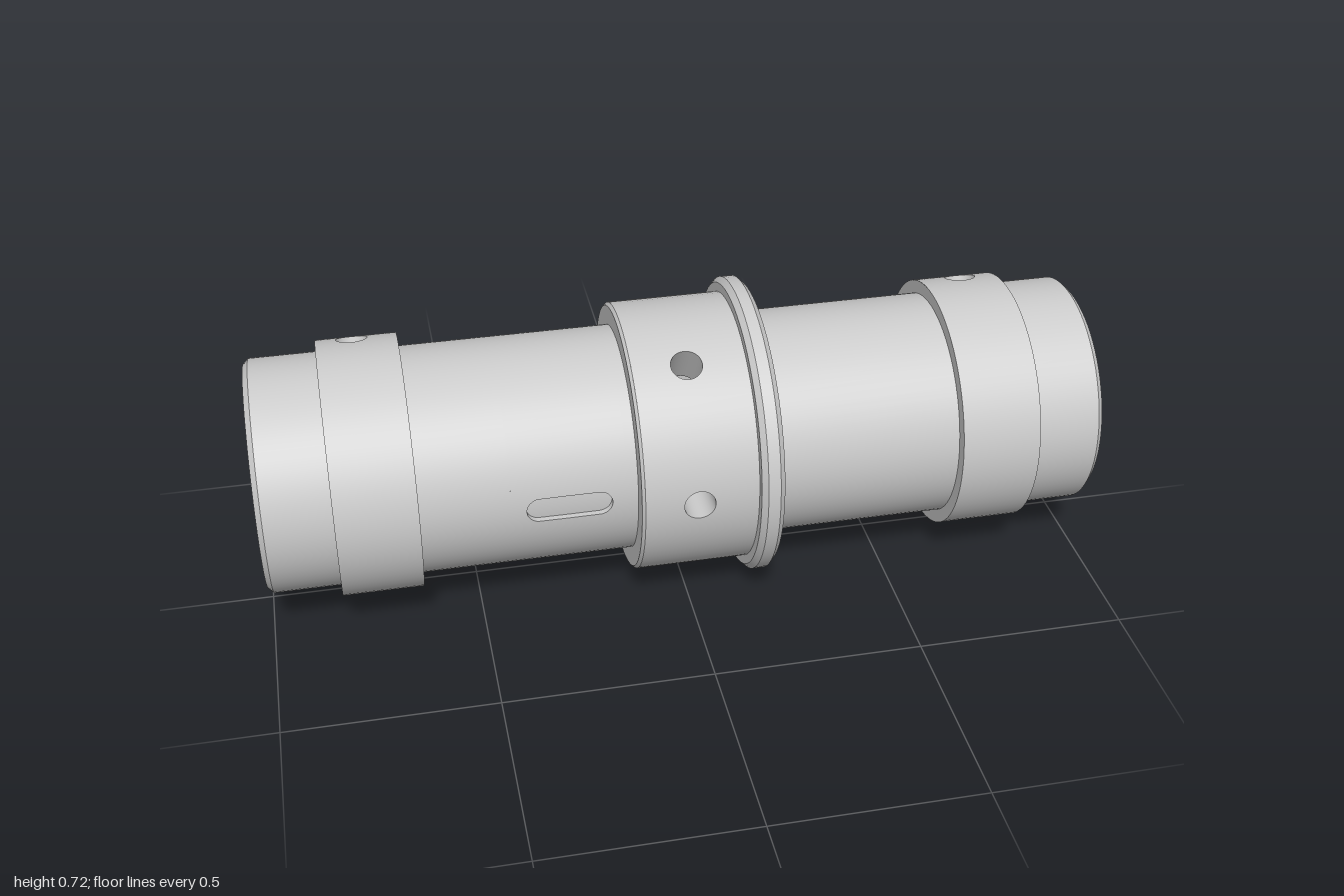
import * as THREE from 'three';
import { mergeGeometries } from 'three/addons/utils/BufferGeometryUtils.js';

const AXIS_Y = 0.36, BORE = 0.209, TUBE = 0.272, COLLAR = 0.304, SLEEVE = 0.325;
const DEG = Math.PI / 180, HALF = 15 * DEG; // half angle of the patch round an opening

// Point on a cylinder round the x axis; theta 0 faces the front, 90 degrees is up
const polar = (x, r, th) => new THREE.Vector3(x, r * Math.sin(th), r * Math.cos(th));

// Surface of revolution between two [x, radius] points, over an arc of theta
function turned([x0, r0], [x1, r1], from = 0, to = 2 * Math.PI) {
  const g = new THREE.LatheGeometry([new THREE.Vector2(r0, x0), new THREE.Vector2(r1, x1)],
    Math.ceil((to - from) / (5 * DEG) - 1e-6), -to, to - from);
  g.rotateZ(-Math.PI / 2);
  g.deleteAttribute('uv');
  return g;
}

// Each straight run is separate so that its edges stay crisp
const profile = (pts) => pts.slice(1).map((p, i) => turned(pts[i], p));

// Ring-shaped grid; sign +1/-1 gives exact radial normals
function grid(fn, ns, sign = 0) {
  const nt = 40, pos = [], nor = [], idx = [];
  for (let j = 0; j <= ns; j++) for (let i = 0; i <= nt; i++) {
    const p = fn(i / nt * 2 * Math.PI, j / ns);
    pos.push(p.x, p.y, p.z);
    const l = Math.hypot(p.y, p.z) || 1;
    nor.push(0, sign * p.y / l, sign * p.z / l);
    if (j < ns && i < nt) {
      const a = j * (nt + 1) + i, b = a + nt + 1;
      idx.push(a, b, a + 1, b, b + 1, a + 1);
    }
  }
  const g = new THREE.BufferGeometry();
  g.setAttribute('position', new THREE.Float32BufferAttribute(pos, 3));
  g.setAttribute('normal', new THREE.Float32BufferAttribute(nor, 3));
  g.setIndex(idx);
  if (!sign) g.computeVertexNormals();
  return g;
}

// Outline of an opening: round, or a slot when half > 0
const outline = (t, { rad, half = 0 }) => {
  const c = Math.cos(t);
  return [rad * c + (Math.abs(c) < 1e-6 ? 0 : Math.sign(c) * half), rad * Math.sin(t)];
};

// Point on the outline of an opening at a given radius
const rim = (t, hole, r, th) => {
  const [u, v] = outline(t, hole);
  return polar(hole.x + u, r, th + Math.asin(v / r));
};

// Cylindrical band from x0 to x1 with openings at the given angles
function piercedBand(x0, x1, r, angles, hole, sign = 1) {
  const parts = [], mid = (x0 + x1) / 2, w = (x1 - x0) / 2;
  angles.forEach((th, k) => {
    const next = k + 1 < angles.length ? angles[k + 1] : angles[0] + 2 * Math.PI;
    const a = [x0, r], b = [x1, r];
    parts.push(turned(sign > 0 ? a : b, sign > 0 ? b : a, th + HALF, next - HALF));
    parts.push(grid((t, s) => {
      const k2 = sign > 0 ? s : 1 - s;
      const c = Math.cos(t), n = Math.sin(t), m = Math.max(Math.abs(c), Math.abs(n));
      const [u, v] = outline(t, hole);
      return polar(THREE.MathUtils.lerp(hole.x + u, mid + w * c / m, k2), r,
        th + THREE.MathUtils.lerp(Math.asin(v / r), HALF * n / m, k2));
    }, 5, sign));
  });
  return parts;
}

// Side walls of the openings
const holeWalls = (angles, hole, r0, r1) => angles.map((th) =>
  grid((t, s) => rim(t, hole, r0 + (r1 - r0) * s, th), 2));

// Band with holes running from the outside into the bore
const drilled = (x0, x1, r, angles, hole) => [
  ...piercedBand(x0, x1, r, angles, hole),
  ...piercedBand(x0, x1, BORE, angles, hole, -1),
  ...holeWalls(angles, hole, BORE, r),
];

export function createModel() {
  const group = new THREE.Group();
  group.position.y = AXIS_Y;
  const material = new THREE.MeshStandardMaterial({ color: 0xcccccc, side: THREE.DoubleSide });
  const add = (name, parts) => {
    const mesh = new THREE.Mesh(mergeGeometries(parts), material);
    mesh.name = name;
    group.add(mesh);
  };

  // End rings and drilled collars, one at each end
  const rear = [110, 180, 250].map((a) => a * DEG);
  for (const s of [-1, 1]) {
    const side = s > 0 ? 'left' : 'right';
    const run = (pts) => profile(s > 0 ? pts : pts.map(([x, r]) => [-x, r]).reverse());
    add(side + 'EndRing', run([[0.83, COLLAR], [0.83, 0.278], [0.987, 0.278], [1, 0.265],
      [1, 0.222], [0.987, BORE], [0.83, BORE]]));
    const x0 = s > 0 ? 0.64 : -0.83;
    add(side + 'Collar', [
      ...drilled(x0, x0 + 0.19, COLLAR, rear, { x: s * 0.745, rad: 0.037 }),
      ...run([[0.64, TUBE], [0.64, COLLAR]]),
    ]);
  }

  // Central sleeve with three holes towards the front
  const front = [-60, 0, 60].map((a) => a * DEG);
  add('centreSleeve', [
    ...profile([[-0.135, TUBE], [-0.135, SLEEVE - 0.007], [-0.128, SLEEVE]]),
    ...drilled(-0.128, 0.14, SLEEVE, front, { x: 0, rad: 0.037 }),
  ]);

  // Flange with bevelled rim
  add('flange', profile([[0.14, SLEEVE], [0.14, 0.347], [0.153, 0.36], [0.182, 0.36],
    [0.195, 0.347], [0.195, TUBE]]));

  // Plain tube on the left
  add('leftTube', [turned([0.195, TUBE], [0.64, TUBE]), turned([0.64, BORE], [0.14, BORE])]);

  // Tube on the right with a shallow slot in front
  const slot = { x: -0.295, rad: 0.031, half: 0.069 }, floor = TUBE - 0.015;
  add('rightTube', [
    turned([-0.64, TUBE], [-0.43, TUBE]),
    ...piercedBand(-0.43, -0.16, TUBE, [0], slot),
    turned([-0.16, TUBE], [-0.135, TUBE]),
    turned([-0.128, BORE], [-0.64, BORE]),
  ]);
  add('slotRecess', [
    ...holeWalls([0], slot, floor, TUBE),
    grid((t, s) => polar(slot.x, floor, 0).lerp(rim(t, slot, floor, 0), s), 1, 1),
  ]);

  const model = new THREE.Group();
  model.name = 'flangedTube';
  model.add(group);
  return model;
}
